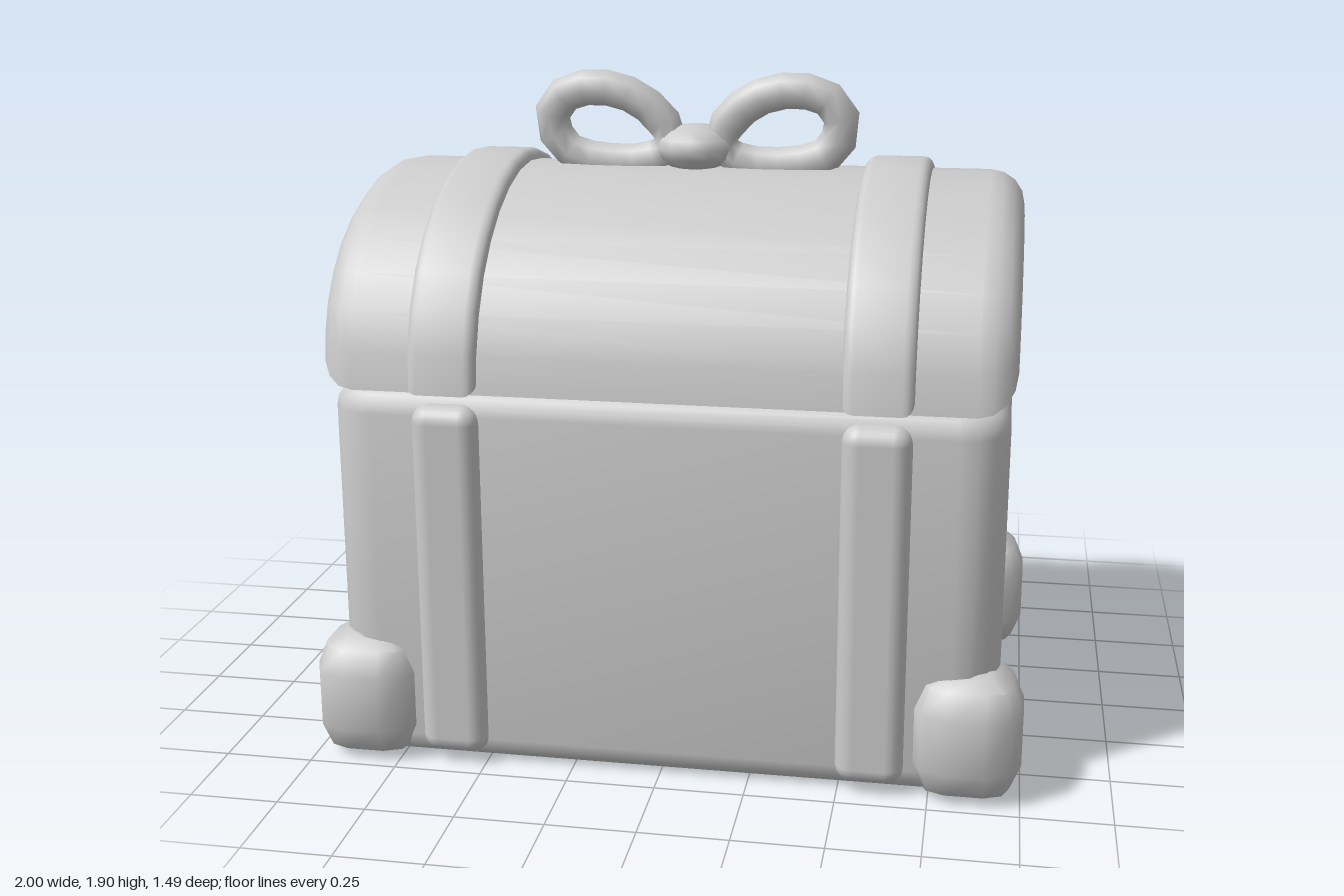
import * as THREE from 'three';
import { toCreasedNormals } from 'three/addons/utils/BufferGeometryUtils.js';
import { RoundedBoxGeometry } from 'three/addons/geometries/RoundedBoxGeometry.js';

const grey = new THREE.MeshStandardMaterial({ color: 0xcccccc, side: THREE.DoubleSide });
grey.name = 'plain grey';
const CZ = 0.05; // depth centre of the chest

// Skin a list of closed rings, optionally capping the ends
function loft(rings, capStart, capEnd, crease = 0.7) {
  const n = rings[0].length;
  const pos = rings.flat().flatMap((p) => [p.x, p.y, p.z]);
  const idx = [];
  for (let i = 0; i < rings.length - 1; i++) {
    for (let j = 0; j < n; j++) {
      const k = (j + 1) % n;
      const a = i * n + j, b = i * n + k, c = a + n, d = b + n;
      idx.push(a, c, b, b, c, d);
    }
  }
  const cap = (row, end) => {
    const centre = new THREE.Vector3();
    rings[row].forEach((p) => centre.addScaledVector(p, 1 / n));
    const c = pos.length / 3;
    pos.push(centre.x, centre.y, centre.z);
    for (let j = 0; j < n; j++) {
      const a = row * n + j, b = row * n + ((j + 1) % n);
      if (end) idx.push(c, b, a);
      else idx.push(c, a, b);
    }
  };
  if (capStart) cap(0, false);
  if (capEnd) cap(rings.length - 1, true);
  const geo = new THREE.BufferGeometry();
  geo.setAttribute('position', new THREE.Float32BufferAttribute(pos, 3));
  geo.setIndex(idx);
  return toCreasedNormals(geo, crease);
}

// Rounded box standing on y = 0 without a floor; r rounds the rims, corner the uprights
function openBox(w, h, d, r, corner, steps) {
  const ring = (inset, y) => {
    const pts = [];
    const rr = Math.max(corner - inset, 0.004);
    for (let q = 0; q < 4; q++) {
      const sx = q === 0 || q === 3 ? 1 : -1, sz = q < 2 ? 1 : -1;
      for (let k = 0; k <= steps; k++) {
        const a = (q + k / steps) * Math.PI / 2;
        pts.push(new THREE.Vector3(
          sx * (w / 2 - corner) + rr * Math.cos(a), y, sz * (d / 2 - corner) + rr * Math.sin(a)));
      }
    }
    return pts;
  };
  const low = [], high = [];
  for (let k = 0; k <= steps; k++) {
    const a = k / steps * Math.PI / 2;
    const inset = r * (1 - Math.sin(a)), y = r * (1 - Math.cos(a));
    low.push(ring(inset, y));
    high.unshift(ring(inset, h - y));
  }
  return loft([...low, ...high], false, true, 0.9);
}

// Half-elliptical arch running along x with rounded ends
function arch(halfWidth, a, b, bevel, base) {
  const segments = 16;
  const ring = (x, t) => {
    const pts = [];
    for (let i = 0; i <= segments; i++) {
      const u = i / segments * Math.PI;
      pts.push(new THREE.Vector3(x, base + t + (b - 2 * t) * Math.sin(u), CZ + 0.005 + (a - t) * Math.cos(u)));
    }
    return pts;
  };
  const rings = [];
  for (const side of [-1, 1]) {
    for (let k = 0; k <= 4; k++) {
      const u = (side < 0 ? k : 4 - k) / 4 * Math.PI / 2;
      rings.push(ring(side * (halfWidth - bevel * (1 - Math.cos(u))), bevel * (1 - Math.sin(u))));
    }
  }
  return loft(rings, true, true);
}

// Flattened ribbon end with changing width
function ribbon(points, radii) {
  const rings = points.map((p, i) => {
    const dir = points[Math.min(i + 1, points.length - 1)].clone()
      .sub(points[Math.max(i - 1, 0)]).normalize();
    const u = new THREE.Vector3(0, 1, 0).cross(dir).normalize();
    const v = u.clone().cross(dir);
    return Array.from({ length: 8 }, (_, j) => {
      const t = j / 8 * Math.PI * 2;
      return p.clone().addScaledVector(u, radii[i] * Math.cos(t)).addScaledVector(v, 0.65 * radii[i] * Math.sin(t));
    });
  });
  return loft(rings, true, true, 1);
}

export function createModel() {
  const model = new THREE.Group();
  model.name = 'chest';
  const add = (name, geo, x = 0, y = 0, z = 0) => {
    const mesh = new THREE.Mesh(geo, grey);
    mesh.name = name;
    mesh.position.set(x, y, z);
    model.add(mesh);
    return mesh;
  };

  // Hollow body and domed lid
  add('body', openBox(1.865, 1.09, 1.245, 0.07, 0.13, 4), 0, 0, CZ);
  add('lid', arch(0.945, 0.632, 0.545, 0.1, 1.09));

  // Corner feet and straps
  const foot = openBox(0.305, 0.36, 0.305, 0.1, 0.1, 2);
  const strap = new RoundedBoxGeometry(0.19, 1.025, 0.12, 3, 0.05);
  const lidStrap = arch(0.095, 0.665, 0.575, 0.03, 1.092);
  for (const sx of [-1, 1]) {
    for (const sz of [-1, 1]) {
      add('cornerFoot', foot, sx * 0.8475, 0, CZ + sz * 0.5425);
      add('bodyStrap', strap, sx * 0.587, 0.5425, CZ + 0.003 + sz * 0.6);
    }
    add('lidStrap', lidStrap, sx * 0.587);

    // Bow loop, leaning slightly forward towards its top
    const path = [[0.07, 1.695], [0.1, 1.765], [0.18, 1.83], [0.29, 1.855], [0.385, 1.83],
      [0.425, 1.76], [0.38, 1.67], [0.25, 1.638], [0.12, 1.65]]
      .map(([x, y]) => new THREE.Vector3(sx * x, y, 0.045 + (y - 1.66) * 0.12));
    add('bowLoop', new THREE.TubeGeometry(new THREE.CatmullRomCurve3(path, true), 14, 0.053, 8, true));

    // Bow tail lying over the lid
    const tail = [[0.06, 1.655, 0.02], [0.1, 1.63, -0.1], [0.137, 1.585, -0.22], [0.218, 1.485, -0.41]]
      .map(([x, y, z]) => new THREE.Vector3(sx * x, y, z));
    add('bowTail', ribbon(tail, [0.045, 0.052, 0.05, 0.022]));
  }
  const knot = add('bowKnot', new THREE.SphereGeometry(1, 12, 8), 0, 1.685, 0.055);
  knot.scale.set(0.115, 0.07, 0.11);

  // Star plate with a raised keyhole, and the clasp above it
  const star = new THREE.Shape();
  for (let i = 0; i < 10; i++) {
    const r = i % 2 ? 0.15 : 0.32, a = Math.PI / 2 + i * Math.PI / 5;
    star[i ? 'lineTo' : 'moveTo'](r * Math.cos(a), r * Math.sin(a));
  }
  star.closePath();
  add('starPlate', new THREE.ExtrudeGeometry(star, { depth: 0.1, bevelEnabled: false }), 0, 0.63, -0.662);

  const hole = new THREE.Shape();
  hole.moveTo(0.035, -0.15);
  hole.lineTo(0.025, -0.05);
  hole.absarc(0, 0, 0.056, -1.1, Math.PI + 1.1, false);
  hole.lineTo(-0.035, -0.15);
  hole.closePath();
  add('keyhole', new THREE.ExtrudeGeometry(hole, { depth: 0.04, bevelEnabled: false, curveSegments: 12 }), 0, 0.645, -0.68);
  add('clasp', new RoundedBoxGeometry(0.24, 0.24, 0.125, 3, 0.05), 0, 1.122, -0.68);

  return model;
}
